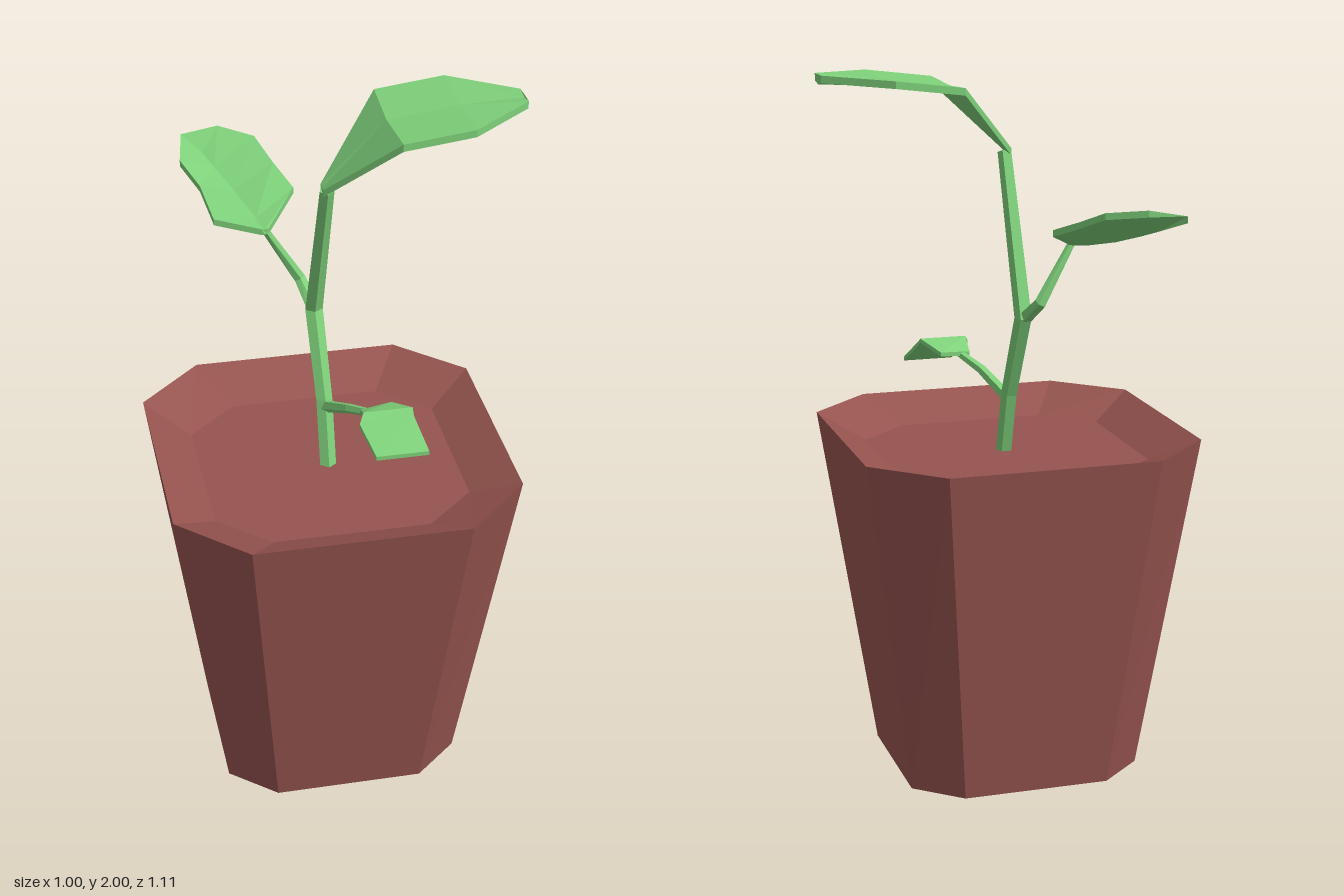
import * as THREE from 'three';

const terracotta = new THREE.MeshStandardMaterial({ color: 0x96544f });
terracotta.name = 'terracotta';
const leafGreen = new THREE.MeshStandardMaterial({ color: 0x7ed07a });
leafGreen.name = 'leaf green';

// Closed, faceted loft through equal-length rings, counterclockwise seen from the far end
function loft(rings) {
  const pos = [];
  const tri = (...pts) => pts.forEach((p) => pos.push(...p));
  const n = rings[0].length;
  for (let k = 0; k < rings.length - 1; k++) {
    const a = rings[k], b = rings[k + 1];
    for (let i = 0; i < n; i++) {
      const j = (i + 1) % n;
      tri(a[i], a[j], b[j]);
      tri(a[i], b[j], b[i]);
    }
  }
  const first = rings[0], last = rings[rings.length - 1];
  for (let i = 1; i < n - 1; i++) {
    tri(first[0], first[i + 1], first[i]);
    tri(last[0], last[i], last[i + 1]);
  }
  const g = new THREE.BufferGeometry();
  g.setAttribute('position', new THREE.Float32BufferAttribute(pos, 3));
  g.computeVertexNormals();
  return g;
}

// Chamfered rectangle: half sizes hx, hz with flat edges of half length fx, fz
function octagon(y, hx, hz, fx, fz) {
  return [[hx, fz], [hx, -fz], [fx, -hz], [-fx, -hz], [-hx, -fz], [-hx, fz], [-fx, hz], [fx, hz]]
    .map(([x, z]) => [x - 0.02, y, z + 0.068]);
}

// Five-sided stalk along a bent path of [x, y, z, radius]
function stalk(path) {
  const pts = path.map((p) => new THREE.Vector3(p[0], p[1], p[2]));
  const xAxis = new THREE.Vector3(1, 0, 0);
  return loft(pts.map((p, i) => {
    const before = pts[Math.max(i - 1, 0)], after = pts[Math.min(i + 1, pts.length - 1)];
    const t = new THREE.Vector3();
    if (before !== p) t.add(p.clone().sub(before).normalize());
    if (after !== p) t.add(after.clone().sub(p).normalize());
    t.normalize();
    const u = new THREE.Vector3().crossVectors(xAxis, t).normalize();
    const v = new THREE.Vector3().crossVectors(t, u);
    return [0, 1, 2, 3, 4].map((k) => {
      const a = (k / 5) * Math.PI * 2;
      return p.clone().addScaledVector(u, path[i][3] * Math.cos(a))
        .addScaledVector(v, path[i][3] * Math.sin(a)).toArray();
    });
  }));
}

// Thin blade from rows of upper-surface points
function blade(rows, thickness) {
  return loft(rows.map((row) => [
    ...row,
    ...[...row].reverse().map(([x, y, z]) => [x, y - thickness, z]),
  ]));
}

export function createModel() {
  const group = new THREE.Group();
  group.name = 'pottedSeedling';
  const add = (name, geometry, material) => {
    const mesh = new THREE.Mesh(geometry, material);
    mesh.name = name;
    group.add(mesh);
  };

  // Tapered pot with a shallow sunken top
  add('pot', loft([
    octagon(0, 0.337, 0.315, 0.21, 0.203),
    octagon(0.99, 0.48, 0.488, 0.298, 0.31),
    octagon(0.92, 0.355, 0.348, 0.215, 0.22),
  ]), terracotta);

  // Main stem and the two side stalks
  add('mainStem', stalk([
    [-0.02, 0.91, 0.07, 0.024], [-0.02, 1.1, 0.015, 0.024],
    [-0.028, 1.335, -0.09, 0.026], [-0.022, 1.775, 0.067, 0.021],
  ]), leafGreen);
  add('backStalk', stalk([
    [-0.028, 1.33, -0.085, 0.02], [-0.052, 1.39, -0.165, 0.017], [-0.145, 1.55, -0.155, 0.011],
  ]), leafGreen);
  add('frontStalk', stalk([
    [-0.02, 1.08, 0.02, 0.018], [0.025, 1.14, 0.14, 0.014], [0.07, 1.175, 0.23, 0.011],
  ]), leafGreen);

  // Large top leaf reaching to the left
  add('topLeaf', blade([
    [[-0.035, 1.785, 0.05], [-0.035, 1.78, 0.068], [-0.035, 1.785, 0.088]],
    [[0.14, 1.97, -0.105], [0.135, 1.96, 0.068], [0.14, 1.97, 0.243]],
    [[0.33, 1.993, -0.105], [0.33, 1.985, 0.068], [0.33, 1.993, 0.243]],
    [[0.5, 2.0, 0.035], [0.5, 1.993, 0.075], [0.5, 2.0, 0.115]],
  ], 0.02), leafGreen);

  // Folded back leaf with a notched tip
  add('backLeaf', blade([
    [[-0.16, 1.56, -0.155], [-0.15, 1.56, -0.152], [-0.14, 1.56, -0.155]],
    [[-0.285, 1.585, -0.19], [-0.165, 1.567, -0.21], [-0.045, 1.61, -0.29]],
    [[-0.3, 1.615, -0.34], [-0.205, 1.595, -0.335], [-0.085, 1.645, -0.39]],
    [[-0.342, 1.655, -0.43], [-0.245, 1.625, -0.43], [-0.12, 1.682, -0.49]],
    [[-0.32, 1.675, -0.557], [-0.27, 1.645, -0.487], [-0.215, 1.694, -0.553]],
  ], 0.018), leafGreen);

  // Small drooping front leaf
  add('frontLeaf', blade([
    [[0.13, 1.185, 0.2], [0.04, 1.18, 0.215]],
    [[0.17, 1.212, 0.28], [0.035, 1.212, 0.28]],
    [[0.168, 1.2, 0.305], [0.02, 1.192, 0.305]],
    [[0.192, 1.137, 0.387], [0.048, 1.137, 0.387]],
  ], 0.012), leafGreen);

  return group;
}
